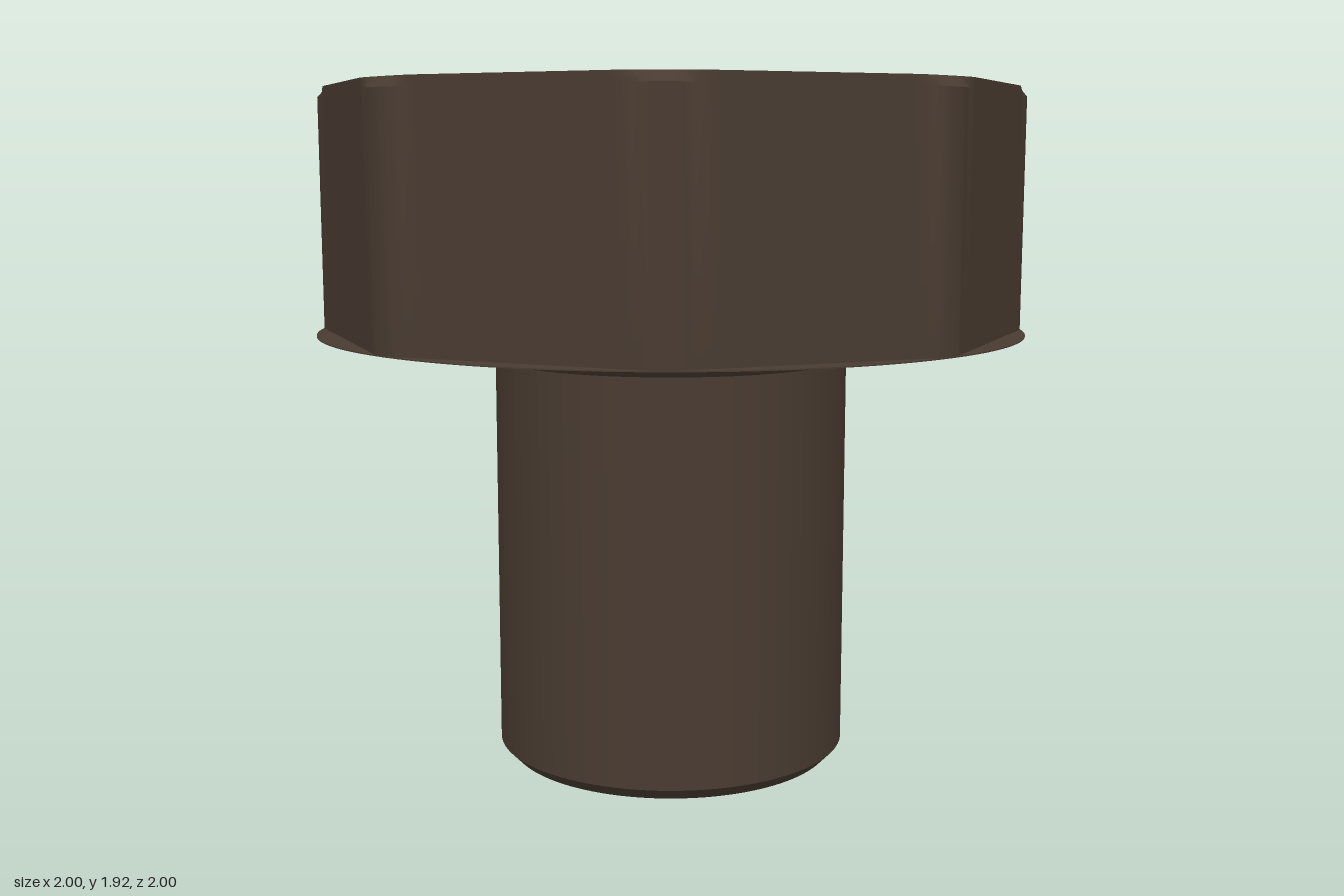
import * as THREE from 'three';
import { toCreasedNormals } from 'three/addons/utils/BufferGeometryUtils.js';

const SEGMENTS = 256;
const APOTHEM = 0.932;

// Radius of an octagon (corners on the axes) clipped by a circle
function octagonRadius(theta, clip) {
  const side = Math.PI / 4;
  const phi = (theta % side) - side / 2;
  return Math.min(clip, APOTHEM / Math.cos(phi));
}

// Lofts rings [radius, height, isOctagon] from the bottom outwards and up
function loft(rings) {
  const positions = [];
  const indices = [];
  for (const [r, y, octagon] of rings) {
    for (let j = 0; j <= SEGMENTS; j++) {
      const t = ((j % SEGMENTS) / SEGMENTS) * Math.PI * 2;
      const radius = octagon ? octagonRadius(t, r) : r;
      positions.push(radius * Math.sin(t), y, radius * Math.cos(t));
    }
  }
  const row = SEGMENTS + 1;
  for (let i = 0; i < rings.length - 1; i++) {
    for (let j = 0; j < SEGMENTS; j++) {
      const a = i * row + j;
      const d = a + row;
      if (rings[i][0] > 0) indices.push(a, a + 1, d);
      if (rings[i + 1][0] > 0) indices.push(a + 1, d + 1, d);
    }
  }
  const geometry = new THREE.BufferGeometry();
  geometry.setAttribute('position', new THREE.Float32BufferAttribute(positions, 3));
  geometry.setIndex(indices);
  return toCreasedNormals(geometry, 0.5);
}

export function createModel() {
  const group = new THREE.Group();
  const brown = new THREE.MeshStandardMaterial({ color: 0x493b31 });
  brown.name = 'dark brown';

  const add = (name, geometry) => {
    const mesh = new THREE.Mesh(geometry, brown);
    mesh.name = name;
    group.add(mesh);
    return mesh;
  };

  // Stem with a bevelled foot and a flared neck
  add('stem', loft([
    [0, 0], [0.47, 0], [0.504, 0.035], [0.504, 1.16], [0.58, 1.236],
  ]));

  // Octagonal head on a thin round flange, hollowed from the top
  add('head', loft([
    [0.58, 1.236], [1, 1.236], [1, 1.239], [0.998, 1.239, true],
    [0.998, 1.893, true], [0.971, 1.92, true],
    [0.795, 1.92], [0.765, 1.89], [0.765, 1.425], [0.715, 1.375], [0, 1.375],
  ]));

  // Four upright ribs inside the cup
  for (let i = 0; i < 4; i++) {
    const geometry = new THREE.BoxGeometry(0.176, 0.47, 0.115);
    geometry.translate(0, 1.605, 0.7075);
    add('rib', geometry).rotation.y = (i * Math.PI) / 2;
  }

  return group;
}
